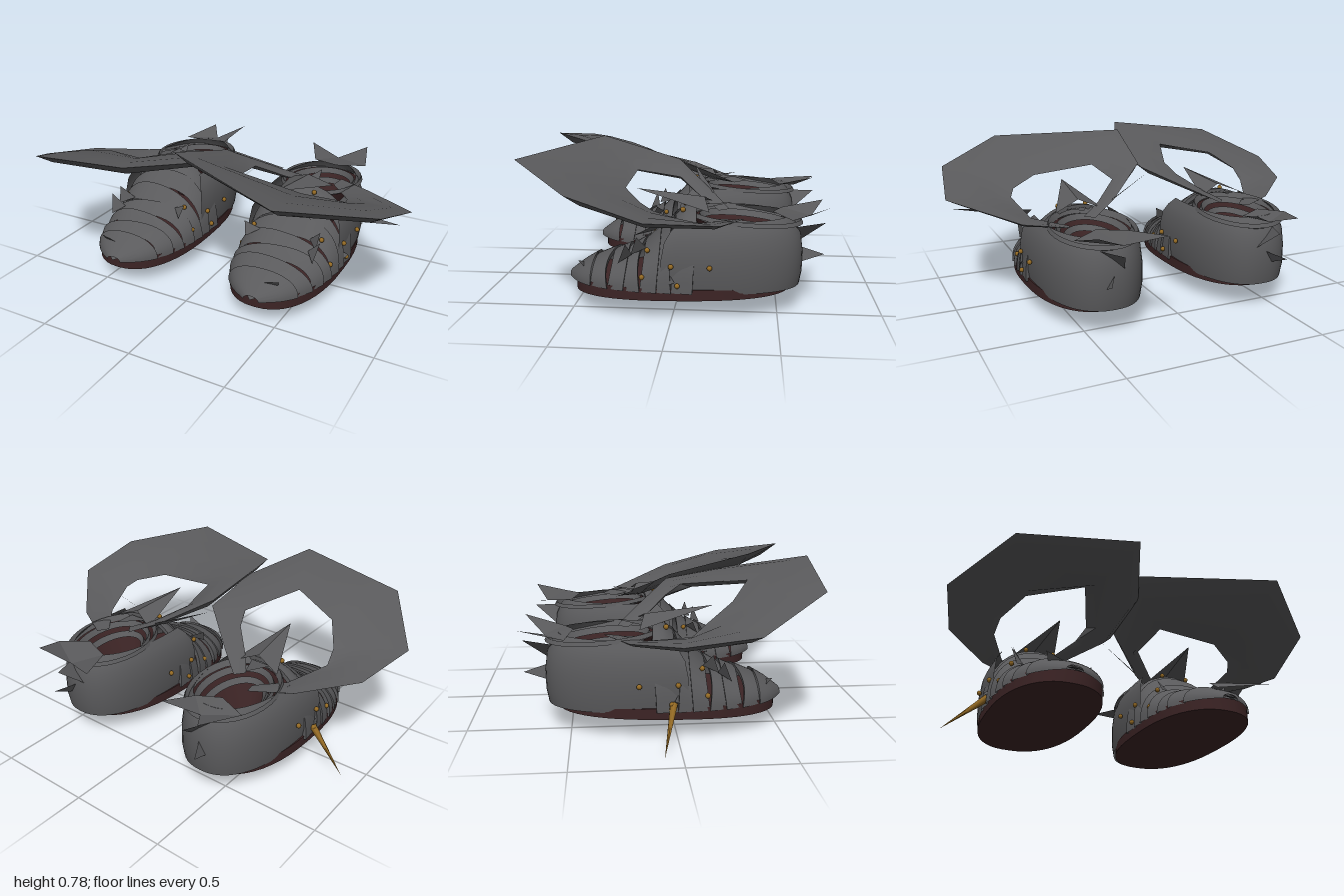
import * as THREE from 'three';
import { toCreasedNormals } from 'three/addons/utils/BufferGeometryUtils.js';

const mat = (name, color) => {
  const m = new THREE.MeshStandardMaterial({ color, side: THREE.DoubleSide });
  m.name = name;
  return m;
};

const spow = (v, p) => Math.sign(v) * Math.pow(Math.abs(v), p);

// Piecewise-linear lookup in [position, value] pairs (ascending)
function lookup(table, p) {
  for (let i = 1; i < table.length; i++) {
    const [a, va] = table[i - 1], [b, vb] = table[i];
    if (p <= b) return va + (vb - va) * Math.max(0, (p - a) / (b - a));
  }
  return table[table.length - 1][1];
}

// Skin through rows of points
function loft(rows, closed, crease = 0.9) {
  const n = rows[0].length, index = [];
  for (let r = 0; r < rows.length - 1; r++)
    for (let i = 0; i < (closed ? n : n - 1); i++) {
      const j = (i + 1) % n, a = r * n + i, b = r * n + j;
      index.push(a, b, a + n, b, b + n, a + n);
    }
  const g = new THREE.BufferGeometry();
  g.setAttribute('position', new THREE.Float32BufferAttribute(rows.flat(2), 3));
  g.setIndex(index);
  return toCreasedNormals(g, crease);
}

// Loose triangles for torn cloth
function shards(tris) {
  const g = new THREE.BufferGeometry();
  g.setAttribute('position', new THREE.Float32BufferAttribute(tris.flat(2), 3));
  g.computeVertexNormals();
  return g;
}

const ring = (n, f) => Array.from({ length: n }, (_, i) => f((i / n) * Math.PI * 2));
const arc = (n, a0, a1, f) => Array.from({ length: n + 1 }, (_, i) => f(a0 + ((a1 - a0) * i) / n));

// Foot outline half width, and vamp height along z
const halfWidth = z => 0.265 * Math.sqrt(Math.max(0, 1 - Math.pow(Math.abs((z + 0.03) / 0.53), 2.4)));
const vampHeight = [[-0.1, 0.5], [-0.05, 0.5], [0, 0.46], [0.05, 0.41], [0.15, 0.325], [0.25, 0.28], [0.4, 0.24], [0.47, 0.205], [0.53, 0.165]];

function add(parent, name, geometry, material) {
  const m = new THREE.Mesh(geometry, material);
  m.name = name;
  parent.add(m);
  return m;
}

function shoe(cloth, leather, brass) {
  const g = new THREE.Group();

  // Sole, slightly thinner at the heel
  const outline = (s, y) => ring(48, a => {
    const z = -0.03 + 0.53 * spow(Math.cos(a), 0.8) * s;
    return [0.265 * spow(Math.sin(a), 0.85) * s, y - (y < 0.13 ? (z - 0.5) * 0.024 : 0), z];
  });
  add(g, 'sole', loft([outline(0, 0.09), outline(1, 0.09), outline(1, 0.158), outline(0, 0.158)], true), leather);

  // Wrapped bands across the toe and instep
  const cuts = [0.53, 0.4, 0.31, 0.23, 0.15, 0.07, 0, -0.1];
  const arch = (z, grow, tilt) => arc(24, 0, Math.PI, a => {
    const zz = z + tilt * Math.sin(2 * a) * 0.012;
    const w = halfWidth(Math.min(zz * 0.95, 0.495)) + grow;
    const h = lookup(vampHeight, zz) - 0.14 + grow;
    return [w * spow(Math.cos(a), 0.87), 0.14 + h * Math.pow(Math.sin(a), 0.87), zz];
  });
  for (let i = 0; i < cuts.length - 1; i++) {
    const rows = [], tilt = i % 2 ? 1 : -1;
    for (let k = 0; k <= 4; k++) {
      const z = cuts[i] + (cuts[i + 1] - cuts[i]) * (k / 4);
      rows.push(arch(z, 0.012 * (k / 4), i ? tilt : 0));
    }
    rows.push(arch(cuts[i + 1], -0.01, tilt));
    add(g, 'instepWrap', loft(rows, false), cloth);
  }

  // Rounded heel quarter
  const levels = [[0.135, 0.96], [0.2, 1], [0.3, 1], [0.38, 0.96], [0.43, 0.88], [0.468, 0.78]];
  const wall = ([y, s]) => arc(36, -1.8, 1.8, a => [
    0.262 * spow(Math.sin(a), 0.85) * s,
    y + 0.02 * (y - 0.13) * Math.cos(a),
    -0.32 + (0.22 - 0.52 * spow(Math.cos(a), 0.85)) * s]);
  add(g, 'heelQuarter', loft(levels.map(wall), false), cloth);

  // Lining, insole and nested collar wraps
  const oval = (w, l, y, z = -0.34) => ring(32, a => [w * Math.sin(a), y + 0.02 * Math.cos(a), z + l * Math.cos(a)]);
  add(g, 'lining', loft([oval(0.2, 0.25, 0.44), oval(0.13, 0.2, 0.3), oval(0.1, 0.17, 0.22), oval(0, 0, 0.21)], true), leather);
  [[0.215, 0.28, 0.472], [0.178, 0.235, 0.45], [0.143, 0.205, 0.4]].forEach(([w, l, y]) =>
    add(g, 'collarWrap', loft([oval(w, l, y - 0.02), oval(w - 0.008, l - 0.01, y), oval(w - 0.028, l - 0.025, y - 0.03)], true), cloth));

  // Brass studs
  const stud = new THREE.SphereGeometry(0.013, 8, 6);
  for (const s of [1, -1])
    for (const [x, y, z] of [[0.275, 0.27, -0.18], [0.268, 0.27, 0], [0.25, 0.21, 0.14], [0.275, 0.18, -0.03], [0.19, 0.325, 0.12], [0.075, 0.5, -0.04]])
      add(g, 'stud', stud, brass).position.set(s * x, y, z);

  // Folded tongue tip
  add(g, 'tongueTip', shards([
    [[-0.12, 0.5, -0.18], [-0.03, 0.58, 0.2], [0, 0.55, -0.14]],
    [[0, 0.55, -0.14], [-0.03, 0.58, 0.2], [0.13, 0.5, -0.17]],
    [[-0.05, 0.5, -0.12], [0.02, 0.53, -0.28], [0.06, 0.5, -0.12]]]), cloth);

  // Torn scraps on the toe, side and heel
  add(g, 'scraps', shards([
    [[0.19, 0.3, 0.2], [0.2, 0.39, 0.17], [0.13, 0.32, 0.13]],
    [[0.2, 0.26, 0.26], [0.22, 0.36, 0.22], [0.15, 0.29, 0.2]],
    [[-0.2, 0.29, 0.2], [-0.22, 0.36, 0.17], [-0.14, 0.32, 0.14]],
    [[0.1, 0.2, 0.44], [0.12, 0.245, 0.47], [0.02, 0.21, 0.46]],
    [[0.25, 0.16, 0.05], [0.29, 0.2, -0.02], [0.26, 0.22, 0]],
    [[-0.06, 0.17, 0.49], [0, 0.15, 0.54], [0.07, 0.17, 0.49]],
    [[0.04, 0.24, -0.6], [0.06, 0.29, -0.72], [0, 0.31, -0.61]],
    [[-0.05, 0.33, -0.61], [0, 0.43, -0.73], [0.06, 0.42, -0.58]]]), cloth);
  return g;
}

// Broad lace loop: [outer x, y, z, inner x, y, z] per station
function laceLoop(stations) {
  return loft(stations.map(([ox, oy, oz, ix, iy, iz], i) => {
    const t = Math.sin((i / (stations.length - 1)) * Math.PI);
    const mix = (f, dy) => [ox + (ix - ox) * f, oy + (iy - oy) * f + dy, oz + (iz - oz) * f];
    return [[ox, oy, oz], mix(0.3, 0.012 * t), mix(0.7, 0.012 * t), [ix, iy, iz], mix(0.8, -0.04 * t), mix(0.2, -0.04 * t)];
  }), true, 0.8);
}

export function createModel() {
  const cloth = mat('charcoal cloth', 0x5a5a5c);
  const leather = mat('dark brown leather', 0x3c2425);
  const brass = mat('brass', 0x946a24);
  const model = new THREE.Group();
  model.name = 'wrappedShoes';

  const left = shoe(cloth, leather, brass);
  left.name = 'leftShoe';
  left.position.x = 0.385;
  const right = shoe(cloth, leather, brass);
  right.name = 'rightShoe';
  right.position.x = -0.425;
  right.scale.x = -1;
  model.add(left, right);

  add(model, 'rightLaceLoop', laceLoop([
    [-0.5, 0.47, -0.34, -0.48, 0.46, -0.27], [-0.69, 0.47, -0.22, -0.6, 0.46, -0.14],
    [-0.92, 0.51, 0, -0.7, 0.5, 0.06], [-1, 0.57, 0.32, -0.69, 0.56, 0.13],
    [-0.77, 0.71, 0.65, -0.6, 0.64, 0.26], [-0.18, 0.785, 0.72, -0.33, 0.69, 0.38],
    [-0.02, 0.71, 0.35, -0.2, 0.65, 0.06], [-0.03, 0.65, 0, -0.23, 0.6, -0.02],
    [-0.25, 0.54, -0.18, -0.34, 0.52, -0.13], [-0.37, 0.48, -0.27, -0.41, 0.48, -0.22]]), cloth);
  add(model, 'leftLaceLoop', laceLoop([
    [0.5, 0.47, -0.34, 0.48, 0.46, -0.27], [0.7, 0.48, -0.23, 0.62, 0.47, -0.1],
    [1, 0.56, 0.08, 0.67, 0.54, 0.08], [0.95, 0.66, 0.42, 0.64, 0.57, 0.14],
    [0.58, 0.75, 0.74, 0.5, 0.61, 0.23], [-0.08, 0.785, 0.44, 0.17, 0.64, 0.22],
    [-0.02, 0.67, 0.02, 0.14, 0.6, 0], [0.2, 0.54, -0.17, 0.27, 0.52, -0.12],
    [0.34, 0.48, -0.26, 0.38, 0.48, -0.21]]), cloth);

  // Thin lace ends
  add(model, 'laceEnds', shards([
    [[-0.05, 0.64, -0.06], [0.22, 0.54, -0.18], [0.2, 0.52, -0.13]],
    [[0.96, 0.5, 0.12], [0.58, 0.48, 0.02], [0.6, 0.43, 0.08]]]), cloth);

  // Flared cloth ends above each heel
  const flare = ([a, b, c, d, e, f]) => shards([[a, b, c], [a, c, f], [f, c, e], [c, d, e]]);
  add(model, 'rightHeelFlare', flare([[-0.6, 0.47, -0.52], [-0.52, 0.5, -0.74], [-0.44, 0.46, -0.62],
    [-0.3, 0.53, -0.72], [-0.34, 0.48, -0.53], [-0.46, 0.49, -0.48]]), cloth);
  add(model, 'leftHeelFlare', flare([[0.27, 0.48, -0.52], [0.17, 0.5, -0.73], [0.36, 0.46, -0.66],
    [0.51, 0.53, -0.73], [0.56, 0.48, -0.56], [0.42, 0.49, -0.47]]), cloth);

  // Long brass pin through the side of the right shoe
  const head = new THREE.Vector3(-0.69, 0.18, -0.02), tip = new THREE.Vector3(-0.9, 0.005, -0.08);
  const dir = tip.clone().sub(head);
  const pin = add(model, 'pin', new THREE.ConeGeometry(0.02, dir.length(), 6), brass);
  pin.position.copy(head).addScaledVector(dir, 0.5);
  pin.quaternion.setFromUnitVectors(new THREE.Vector3(0, 1, 0), dir.normalize());
  return model;
}
